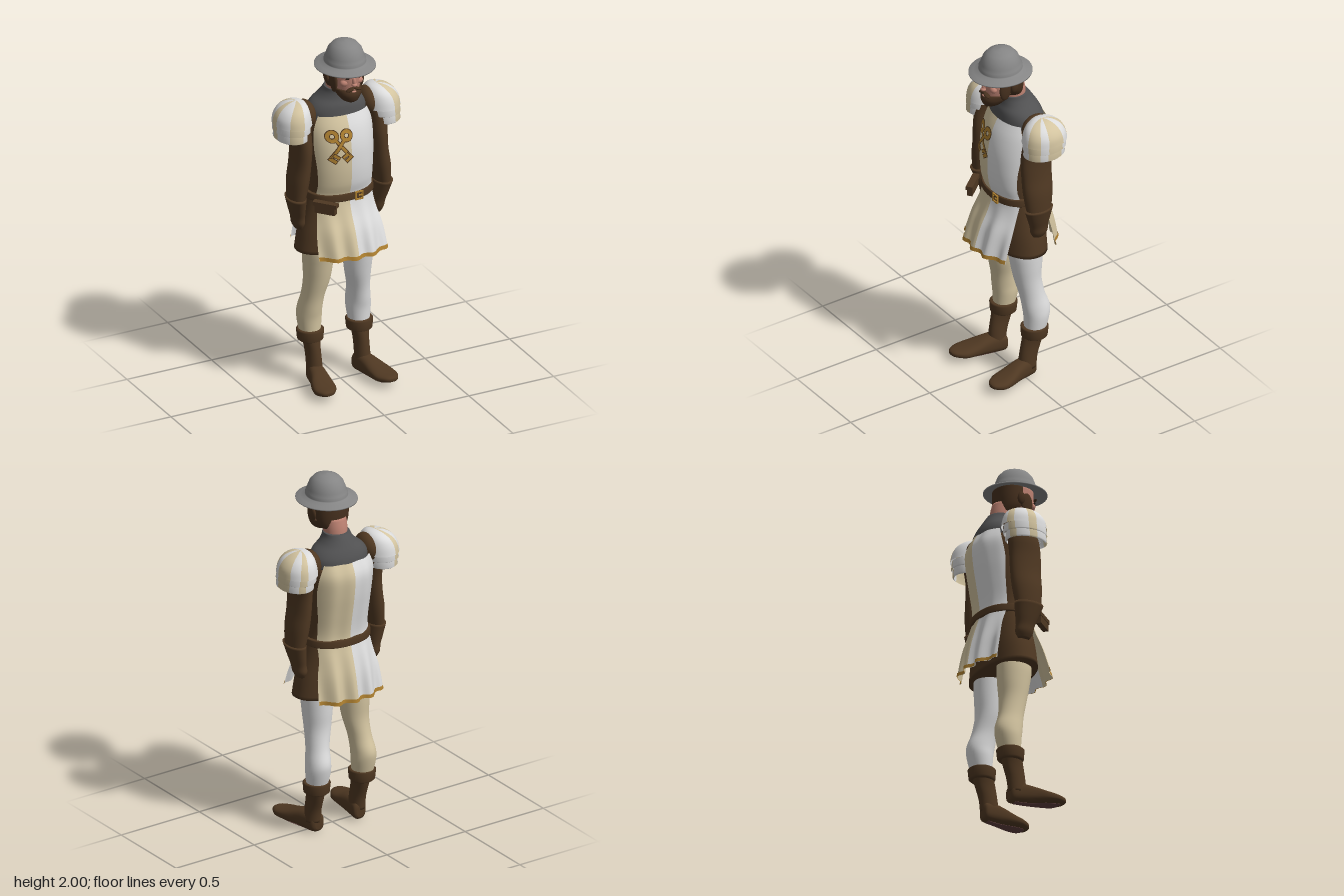
import * as THREE from 'three';

const mat = (name, color, side = THREE.FrontSide) => {
  const m = new THREE.MeshStandardMaterial({ color, side });
  m.name = name;
  return m;
};
const D = THREE.DoubleSide;
const white = mat('white cloth', 0xdcdcdc, D), tan = mat('tan cloth', 0xd3c4a0, D);
const brown = mat('brown leather', 0x4f3822, D), mail = mat('dark mail', 0x515152);
const steel = mat('steel', 0x858585, D), gold = mat('gold trim', 0xae8030, D);
const skin = mat('skin', 0xbd8272), hair = mat('hair', 0x46301e);
const dark = mat('dark features', 0x2a1c14), soleRed = mat('sole', 0x61403f);

// Catmull-Rom refinement of a table of numeric rows
function refine(rows, sub) {
  const out = [], last = rows.length - 1;
  for (let i = 0; i < last; i++) {
    const [a, b, c, d] = [rows[Math.max(i - 1, 0)], rows[i], rows[i + 1], rows[Math.min(i + 2, last)]];
    for (let k = 0; k < sub; k++) {
      const t = k / sub;
      out.push(b.map((v, n) => v + 0.5 * t * (c[n] - a[n] + t * (2 * a[n] - 5 * v + 4 * c[n] - d[n] + t * (3 * (v - c[n]) + d[n] - a[n])))));
    }
  }
  out.push(rows[last]);
  return out;
}

function toGeometry(pos, idx) {
  const g = new THREE.BufferGeometry();
  g.setAttribute('position', new THREE.Float32BufferAttribute(pos, 3));
  g.setIndex(idx);
  g.computeVertexNormals();
  return g;
}

// Closed rings [y, cx, cz, rx, rz]; triangles run column by column
function loft(rows, { s = 1, sub = 4, p = 2, n = 32, caps = true } = {}) {
  let r = sub > 1 ? refine(rows, sub) : rows.slice();
  if (r[0][0] > r[r.length - 1][0]) r.reverse();
  const pole = (q) => [q[0], q[1], q[2], 0, 0];
  if (caps) r = [pole(r[0]), ...r, pole(r[r.length - 1])];
  const pos = [], idx = [];
  const pw = (v) => Math.sign(v) * Math.abs(v) ** (2 / p);
  for (const [y, cx, cz, rx, rz] of r)
    for (let j = 0; j < n; j++) {
      const a = (j / n) * Math.PI * 2;
      pos.push(s * cx + Math.max(rx, 0) * pw(Math.cos(a)), y, cz + Math.max(rz, 0) * pw(Math.sin(a)));
    }
  for (let j = 0; j < n; j++)
    for (let i = 0; i < r.length - 1; i++) {
      const a = i * n + j, b = i * n + ((j + 1) % n);
      idx.push(a, a + n, b, b, a + n, b + n);
    }
  return toGeometry(pos, idx);
}

// Tabard surface: y, half width of cloth, body radius x, front z, back z
const BODY = refine([
  [1.57, 0.145, 0.175, 0.07, -0.18], [1.5, 0.17, 0.19, 0.105, -0.21], [1.4, 0.175, 0.19, 0.13, -0.205],
  [1.28, 0.165, 0.185, 0.135, -0.185], [1.18, 0.16, 0.18, 0.125, -0.168], [1.11, 0.165, 0.185, 0.105, -0.165],
  [1.02, 0.17, 0.205, 0.128, -0.19], [0.92, 0.19, 0.235, 0.175, -0.215], [0.79, 0.2, 0.26, 0.215, -0.235]], 4);
function bodyAt(y) {
  let i = 0;
  while (i < BODY.length - 2 && BODY[i + 1][0] > y) i++;
  const a = BODY[i], b = BODY[i + 1], t = (a[0] - y) / (a[0] - b[0]);
  return a.map((v, n) => v + (b[n] - v) * t);
}
function clothZ(x, y, side) {
  const [, , rx, zf, zb] = bodyAt(y);
  const dome = (1 - Math.min(1, Math.abs(x / rx)) ** 2.2) ** (1 / 2.2);
  const fold = 0.012 * Math.min(1, Math.max(0, (1.08 - y) / 0.25)) + (side < 0 ? 0.003 : 0);
  return (zf + zb) / 2 + side * (((zf - zb) / 2) * dome + fold * Math.cos(x * 60 + side));
}
function cloth(y0, y1, u0, u1, side, off = 0) {
  const pos = [], idx = [], nx = 20, ny = Math.max(2, Math.round((y1 - y0) * 45));
  for (let i = 0; i <= ny; i++)
    for (let j = 0; j <= nx; j++) {
      const y = y0 + ((y1 - y0) * i) / ny;
      const x = bodyAt(y)[1] * (u0 + ((u1 - u0) * j) / nx);
      pos.push(x, y, clothZ(x, y, side) + side * off);
      if (i < ny && j < nx) {
        const a = i * (nx + 1) + j, b = a + nx + 1;
        if (side > 0) idx.push(a, a + 1, b, b, a + 1, b + 1);
        else idx.push(a, b, a + 1, b, b + 1, a + 1);
      }
    }
  return toGeometry(pos, idx);
}

export function createModel() {
  const root = new THREE.Group();
  const add = (name, geo, m, parent = root) => {
    const mesh = new THREE.Mesh(geo, m);
    mesh.name = name;
    parent.add(mesh);
    return mesh;
  };
  const blob = (name, m, x, y, z, rx, ry, rz, tilt = 0) => {
    const b = add(name, new THREE.SphereGeometry(1, 20, 14), m);
    b.position.set(x, y, z);
    b.scale.set(rx, ry, rz);
    b.rotation.z = tilt;
  };

  // Padded coat, skirt and mail collar
  add('coat', loft(BODY.filter((r) => r[0] < 1.55 && r[0] > 1.08).map(([y, , rx, f, b]) =>
    [y, 0, (f + b) / 2, rx - 0.008, (f - b) / 2 - 0.012]), { sub: 1, p: 2.2, n: 48 }), brown);
  add('coatSkirt', loft([[1.11, 0, -0.03, 0.178, 0.12], [1, 0, -0.025, 0.205, 0.128],
    [0.9, 0, -0.022, 0.232, 0.135], [0.795, 0, -0.02, 0.25, 0.14]], { p: 2.2, n: 48 }), brown);
  add('mailCollar', loft([[1.705, 0, -0.035, 0.07, 0.072], [1.68, 0, -0.042, 0.078, 0.082], [1.65, 0, -0.048, 0.102, 0.095],
    [1.62, 0, -0.05, 0.14, 0.11], [1.585, 0, -0.053, 0.163, 0.12], [1.54, 0, -0.053, 0.165, 0.127]], { p: 2.1, n: 48 }), mail);

  // Two-colour tabard, quartered front to back, with a gold hem
  for (const side of [1, -1]) {
    const label = side > 0 ? 'Front' : 'Back';
    add('tabard' + label + 'Right', cloth(0.79, 1.57, -1, 0, side), side > 0 ? tan : white);
    add('tabard' + label + 'Left', cloth(0.79, 1.57, 0, 1, side), side > 0 ? white : tan);
    add('hem' + label, cloth(0.79, 0.81, -1, 1, side, 0.004), gold);
  }

  // Crossed keys laid on the chest, dark outline below the gold
  const key = (x, y, turn, grow, off, m) => {
    const ring = new THREE.Shape().absarc(0, 0, 0.032 + grow, 0, Math.PI * 2);
    ring.holes.push(new THREE.Path().absarc(0, 0, 0.014 - grow, 0, Math.PI * 2, true));
    const bar = (x0, y0, x1, y1) => new THREE.Shape([[x0 - grow, y0 - grow], [x1 + grow, y0 - grow],
      [x1 + grow, y1 + grow], [x0 - grow, y1 + grow]].map((c) => new THREE.Vector2(...c)));
    const sx = Math.sign(turn);
    const tooth = (y0, y1) => (sx > 0 ? bar(-0.034, y0, 0, y1) : bar(0, y0, 0.034, y1));
    const g = new THREE.ShapeGeometry([ring, bar(-0.007, -0.09, 0.007, -0.03), bar(-0.007, -0.16, 0.007, -0.09),
      tooth(-0.16, -0.143), tooth(-0.132, -0.118)], 12);
    g.rotateZ(turn).translate(x, y, 0);
    const p = g.attributes.position;
    for (let i = 0; i < p.count; i++) p.setZ(i, clothZ(p.getX(i), p.getY(i), 1) + off);
    g.computeVertexNormals();
    add('chestKey', g, m);
  };
  for (const [x, turn, lift] of [[-0.1, 0.655, 0], [-0.025, -0.63, 0.002]]) {
    key(x, 1.475, turn, 0.004, 0.004 + lift, brown);
    key(x, 1.475, turn, 0, 0.005 + lift, gold);
  }

  // Belt, buckle and pouch
  add('belt', loft([[1.13, 0, -0.03, 0.188, 0.145], [1.125, 0, -0.03, 0.191, 0.148],
    [1.095, 0, -0.03, 0.193, 0.15], [1.09, 0, -0.03, 0.19, 0.147]], { sub: 1, p: 2.2, n: 48 }), brown);
  for (const [w, h, x, y] of [[0.044, 0.007, 0, 0.021], [0.044, 0.007, 0, -0.021], [0.007, 0.046, -0.02, 0],
    [0.007, 0.046, 0.02, 0], [0.022, 0.006, 0.008, 0]])
    add('buckle', new THREE.BoxGeometry(w, h, 0.008).translate(0.05 + x, 1.11 + y, 0.119), gold);
  const pouch = new THREE.Group();
  pouch.name = 'pouch';
  pouch.position.set(-0.152, 1.08, 0.125);
  pouch.rotation.y = -0.88;
  add('pouchBody', new THREE.BoxGeometry(0.115, 0.055, 0.03), brown, pouch);
  add('pouchFlap', new THREE.BoxGeometry(0.135, 0.022, 0.036).translate(0, 0.024, 0), brown, pouch);
  root.add(pouch);

  // Limbs and shoulder armour
  const tanSectors = { 1: [[-12, 30], [-75, -40], [62, 85]], '-1': [[-6, 12], [50, 78], [-95, -55]] };
  for (const s of [1, -1]) {
    const part = (s > 0 ? 'left' : 'right');
    add(part + 'Sleeve', loft([[1.6, 0.195, -0.05, 0.045, 0.07], [1.5, 0.222, -0.035, 0.053, 0.09], [1.4, 0.222, -0.022, 0.05, 0.092],
      [1.3, 0.228, -0.022, 0.05, 0.09], [1.2, 0.241, -0.021, 0.053, 0.086], [1.08, 0.255, -0.02, 0.042, 0.07]], { s }), brown);
    add(part + 'Gauntlet', loft([[1.11, 0.255, -0.018, 0.05, 0.084], [1.04, 0.245, -0.025, 0.042, 0.066], [0.99, 0.237, -0.03, 0.036, 0.053],
      [0.95, 0.232, -0.034, 0.034, 0.05], [0.92, 0.23, -0.034, 0.02, 0.034]], { s }), brown);
    blob(part + 'ShoulderPad', brown, s * 0.182, 1.565, -0.05, 0.05, 0.078, 0.085);

    // Striped dome with two lames beneath
    const striped = (name, rows, sub) => {
      const n = 48, g = loft(rows, { s, sub, n, caps: false }), per = g.index.count / n;
      for (let j = 0; j < n; j++) {
        const a = ((j + 0.5) / n) * Math.PI * 2;
        const phi = (Math.atan2(-Math.sin(a), s * Math.cos(a)) * 180) / Math.PI;
        g.addGroup(j * per, per, tanSectors[s].some(([lo, hi]) => phi > lo && phi < hi) ? 1 : 0);
      }
      add(part + name, g, [white, tan]);
    };
    striped('PauldronDome', [[1.655, 0.235, -0.05, 0, 0], [1.647, 0.238, -0.05, 0.042, 0.052], [1.62, 0.25, -0.05, 0.076, 0.096],
      [1.58, 0.258, -0.05, 0.096, 0.118], [1.535, 0.26, -0.05, 0.102, 0.127]], 4);
    striped('UpperLame', [[1.54, 0.262, -0.047, 0.095, 0.118], [1.5, 0.264, -0.046, 0.098, 0.122], [1.495, 0.264, -0.046, 0.092, 0.115]], 1);
    striped('LowerLame', [[1.5, 0.266, -0.043, 0.09, 0.113], [1.46, 0.268, -0.042, 0.091, 0.117], [1.453, 0.268, -0.042, 0.084, 0.108]], 1);

    add(part + 'Leg', loft([[0.95, 0.105, -0.03, 0.08, 0.09], [0.8, 0.115, -0.025, 0.085, 0.096], [0.7, 0.118, -0.03, 0.08, 0.088],
      [0.6, 0.121, -0.037, 0.071, 0.075], [0.5, 0.134, -0.056, 0.061, 0.07], [0.42, 0.143, -0.075, 0.064, 0.077],
      [0.36, 0.145, -0.077, 0.066, 0.07], [0.27, 0.145, -0.066, 0.055, 0.056]], { s }), s > 0 ? white : tan);

    // Boot: folded cuff, shaft, foot and sole
    add(part + 'BootCuff', loft([[0.302, 0.145, -0.065, 0.066, 0.068], [0.295, 0.145, -0.065, 0.074, 0.075],
      [0.245, 0.145, -0.064, 0.069, 0.071], [0.237, 0.145, -0.064, 0.06, 0.062]], { s, sub: 1 }), brown);
    add(part + 'BootShaft', loft([[0.26, 0.144, -0.06, 0.05, 0.06], [0.2, 0.143, -0.045, 0.04, 0.059],
      [0.13, 0.142, -0.028, 0.04, 0.053], [0.06, 0.142, -0.02, 0.043, 0.052]], { s }), brown);
    add(part + 'Foot', loft([[-0.07, 0.133, -0.05, 0.022, 0.03], [-0.055, 0.135, -0.055, 0.04, 0.051], [0, 0.145, -0.06, 0.046, 0.055],
      [0.06, 0.156, -0.058, 0.052, 0.048], [0.12, 0.17, -0.052, 0.062, 0.036], [0.18, 0.18, -0.048, 0.063, 0.026],
      [0.225, 0.186, -0.05, 0.038, 0.017], [0.24, 0.188, -0.05, 0.015, 0.008]], { s, p: 2.5 }).rotateX(Math.PI / 2), brown);
    add(part + 'Sole', loft([[-0.04, 0.138, -0.005, 0.018, 0.004], [0.03, 0.15, -0.006, 0.02, 0.004], [0.12, 0.17, -0.015, 0.034, 0.004],
      [0.18, 0.18, -0.022, 0.034, 0.004], [0.205, 0.184, -0.028, 0.02, 0.004]], { s, p: 2.5 }).rotateX(Math.PI / 2), soleRed);

    // Facial features
    blob(part + 'Eye', dark, s * 0.033, 1.818, 0.146, 0.013, 0.005, 0.006);
    blob(part + 'Brow', hair, s * 0.036, 1.834, 0.147, 0.021, 0.006, 0.01, s * 0.15);
    blob(part + 'Cheek', skin, s * 0.042, 1.79, 0.126, 0.024, 0.02, 0.02);
    blob(part + 'Moustache', hair, s * 0.02, 1.757, 0.153, 0.026, 0.008, 0.016, s * -0.4);
    blob(part + 'Sideburn', hair, s * 0.078, 1.785, 0.075, 0.014, 0.06, 0.034);
    blob(part + 'Ear', hair, s * 0.1, 1.8, 0.03, 0.012, 0.034, 0.022, s * -0.1);
  }

  // Head
  add('neck', loft([[1.64, 0, -0.035, 0.06, 0.062], [1.72, 0, -0.025, 0.064, 0.069], [1.78, 0, -0.01, 0.066, 0.07]]), skin);
  add('face', loft([[1.7, 0, 0.085, 0.035, 0.045], [1.72, 0, 0.075, 0.055, 0.07], [1.76, 0, 0.055, 0.073, 0.096],
    [1.81, 0, 0.045, 0.082, 0.11], [1.88, 0, 0.045, 0.085, 0.108]]), skin);
  blob('nose', skin, 0, 1.797, 0.153, 0.011, 0.03, 0.016);
  blob('noseTip', skin, 0, 1.783, 0.16, 0.015, 0.011, 0.016);
  add('hairBack', loft([[1.725, 0, -0.012, 0.07, 0.058], [1.76, 0, 0, 0.09, 0.069], [1.81, 0, 0.007, 0.098, 0.078],
    [1.875, 0, 0.01, 0.098, 0.08]]), hair);
  add('beard', loft([[1.675, 0, 0.108, 0.028, 0.035], [1.687, 0, 0.102, 0.046, 0.056], [1.715, 0, 0.09, 0.066, 0.077],
    [1.735, 0, 0.078, 0.073, 0.086], [1.748, 0, 0.066, 0.077, 0.088]]), hair);
  blob('lip', skin, 0, 1.742, 0.156, 0.014, 0.005, 0.008);

  // Wide-brimmed helmet
  const profile = [[0.09, 1.872], [0.155, 1.857], [0.16, 1.857], [0.16, 1.863], [0.135, 1.87], [0.112, 1.882], [0.109, 1.886], [0.109, 1.9],
    [0.104, 1.902], [0.1, 1.922], [0.088, 1.955], [0.066, 1.981], [0.035, 1.996], [0, 2]];
  const helmet = add('helmet', new THREE.LatheGeometry(profile.map((q) => new THREE.Vector2(...q)), 48), steel);
  helmet.scale.z = 1.08;
  helmet.position.z = 0.052;
  return root;
}
